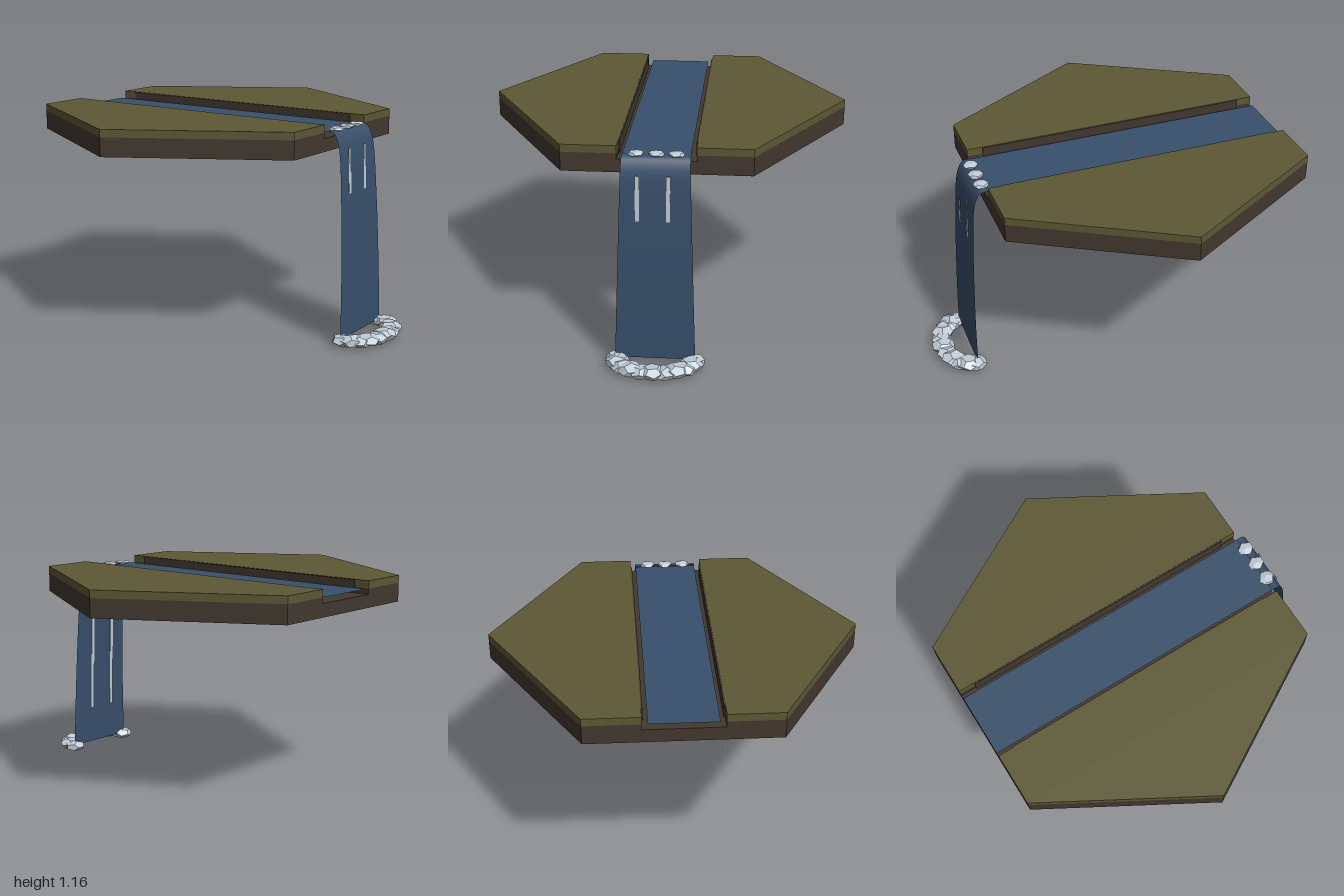
import * as THREE from 'three';

export function createModel() {
  const model = new THREE.Group();
  const grass = new THREE.MeshStandardMaterial({ color: 0x5d5834 });
  const earth = new THREE.MeshStandardMaterial({ color: 0x42382f });
  const water = new THREE.MeshStandardMaterial({ color: 0x384f6b, side: THREE.DoubleSide });
  const foam = new THREE.MeshStandardMaterial({ color: 0xc2ced8 });

  const add = (name, geometry, material, parent = model) => {
    const mesh = new THREE.Mesh(geometry, material);
    mesh.name = name;
    parent.add(mesh);
    return mesh;
  };

  // Flat slab from an outline of [x, z] points
  const slab = (points, y0, y1) => {
    const shape = new THREE.Shape(points.map(([x, z]) => new THREE.Vector2(x, -z)));
    return new THREE.ExtrudeGeometry(shape, { depth: y1 - y0, bevelEnabled: false })
      .rotateX(-Math.PI / 2).translate(0, y0, 0);
  };

  // Hexagonal tile with a channel cut along x
  const west = -1, east = 0.67, mid = -0.165, tip = 0.965, corner = 0.483, channel = 0.2;
  const floorY = 1.09;
  add('earthBase', slab([
    [west, -corner], [mid, -tip], [east, -corner],
    [east, corner], [mid, tip], [west, corner],
  ], 1.02, floorY), earth);
  for (const s of [-1, 1]) {
    const side = s > 0 ? 'Left' : 'Right';
    const half = [
      [west, s * channel], [east, s * channel], [east, s * corner],
      [mid, s * tip], [west, s * corner],
    ];
    add('earthBank' + side, slab(half, floorY, 1.12), earth);
    add('grass' + side, slab(half, 1.12, 1.16), grass);
    // Bare earth lining the channel wall, short of both ends
    add('channelWall' + side, new THREE.BoxGeometry(1.5, 0.068, 0.008), earth)
      .position.set(mid, 1.124, s * (channel - 0.003));
  }

  // River surface
  add('river', new THREE.PlaneGeometry(east - west, 0.342).rotateX(-Math.PI / 2), water)
    .position.set(mid, 1.12, 0);

  // Waterfall: a sheet bent along a side profile, widening as it drops
  const profile = new THREE.CatmullRomCurve3([
    [0.67, 1.122], [0.705, 1.117], [0.73, 1.08], [0.745, 1.02], [0.754, 0.94],
    [0.761, 0.84], [0.774, 0.6], [0.785, 0.3], [0.79, 0.04],
  ].map(([x, y]) => new THREE.Vector3(x, y, 0)));
  const sheet = new THREE.PlaneGeometry(1, 1, 1, 24);
  const pos = sheet.attributes.position;
  for (let i = 0; i < pos.count; i++) {
    const p = profile.getPoint(0.5 - pos.getY(i));
    const halfWidth = 0.172 + 0.036 * (1.122 - p.y) / 1.08;
    pos.setXYZ(i, p.x, p.y, -2 * pos.getX(i) * halfWidth);
  }
  sheet.computeVertexNormals();
  add('waterfall', sheet, water);

  // Pale streaks running through the falling sheet
  const top = new THREE.Vector2(0.755, 1.035), bottom = new THREE.Vector2(0.78, 0.25);
  for (const z of [0.09, -0.065]) {
    const streak = add('streak', new THREE.BoxGeometry(0.002, top.distanceTo(bottom), 0.021), foam);
    streak.position.set((top.x + bottom.x) / 2, (top.y + bottom.y) / 2, z);
    streak.rotation.z = Math.atan2(bottom.x - top.x, top.y - bottom.y);
  }

  // Faceted foam chunks, turned about y and flattened
  const chunk = (parent, radius, height, x, y, z, turn) => {
    const geometry = new THREE.DodecahedronGeometry(radius, 0)
      .rotateX(turn * 1.7).rotateZ(turn * 0.8).rotateY(turn).scale(1, height, 1);
    add('foamChunk', geometry, foam, parent).position.set(x, y, z);
  };

  const lipFoam = new THREE.Group();
  lipFoam.name = 'lipFoam';
  model.add(lipFoam);
  for (let i = -1; i <= 1; i++) chunk(lipFoam, 0.042, 0.3, 0.68, 1.128, i * 0.1, 0.6 + i * 0.5);

  // Splash ring: half an ellipse around the foot of the fall
  const splash = new THREE.Group();
  splash.name = 'splashFoam';
  model.add(splash);
  const count = 11;
  for (let i = 0; i < count; i++) {
    const a = -Math.PI / 2 + Math.PI * i / (count - 1);
    chunk(splash, 0.062 + 0.004 * (i % 2), 0.52,
      0.8 + 0.135 * Math.cos(a), 0.036 + 0.004 * (i % 2), 0.2 * Math.sin(a), i * 0.9);
  }

  return model;
}
